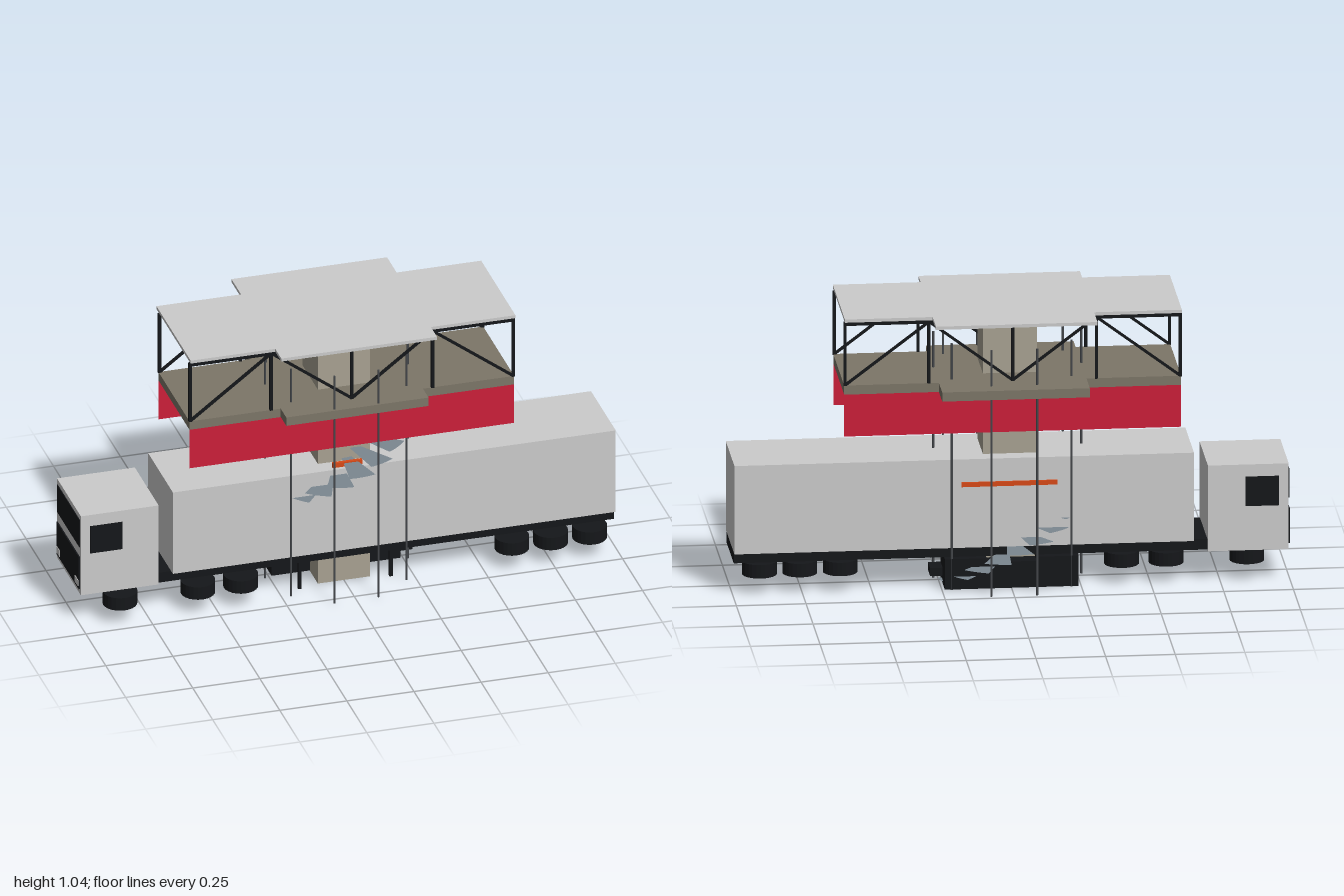
import * as THREE from 'three';

const mat = (color, side = THREE.FrontSide) =>
  new THREE.MeshStandardMaterial({ color, side, flatShading: true });
const GREY = mat(0xcccccc), BLACK = mat(0x15171a), POLE = mat(0x45484c);
const STONE = mat(0xa8a292), DECK = mat(0x7c7668), ORANGE = mat(0xd84a18);
const RED = mat(0xcc1f3a, THREE.DoubleSide), TREAD = mat(0x7b8790, THREE.DoubleSide);
const CZ = 0.025; // z of the tower axis

export function createModel() {
  const root = new THREE.Group();

  const add = (name, geometry, material, x = 0, y = 0, z = 0) => {
    const mesh = new THREE.Mesh(geometry, material);
    mesh.name = name;
    mesh.position.set(x, y, z);
    root.add(mesh);
    return mesh;
  };
  // Box given by its min and max on each axis
  const box = (name, material, x0, x1, y0, y1, z0, z1) =>
    add(name, new THREE.BoxGeometry(x1 - x0, y1 - y0, z1 - z0), material,
      (x0 + x1) / 2, (y0 + y1) / 2, (z0 + z1) / 2);
  // Square bar between two points in a plane of constant z
  const bar = (name, x0, y0, x1, y1, z, t) => {
    const m = add(name, new THREE.BoxGeometry(Math.hypot(x1 - x0, y1 - y0), t, t), BLACK,
      (x0 + x1) / 2, (y0 + y1) / 2, z);
    m.rotation.z = Math.atan2(y1 - y0, x1 - x0);
  };
  // Cross-shaped slab: long rectangle with a deeper middle
  const slab = (name, material, y, h, w, z0, z1, midW, mz0, mz1) => {
    const s = new THREE.Shape([
      [-w, z0], [-midW, z0], [-midW, mz0], [midW, mz0], [midW, z0], [w, z0],
      [w, z1], [midW, z1], [midW, mz1], [-midW, mz1], [-midW, z1], [-w, z1],
    ].map(([x, z]) => new THREE.Vector2(x, -z)));
    const g = new THREE.ExtrudeGeometry(s, { depth: h, bevelEnabled: false });
    g.rotateX(-Math.PI / 2);
    add(name, g, material, 0, y, 0);
  };

  // Truck: cab, chassis and trailer
  box('cab', GREY, -0.995, -0.705, 0.115, 0.435, -0.13, 0.17);
  box('chassis', BLACK, -0.71, 0.995, 0.115, 0.155, -0.107, 0.157);
  box('trailer', GREY, -0.655, 0.995, 0.155, 0.485, -0.13, 0.18);
  box('windshield', BLACK, -0.998, -0.99, 0.305, 0.415, -0.12, 0.16);
  box('grille', BLACK, -1.0, -0.99, 0.135, 0.265, -0.12, 0.16);
  for (const z of [-0.095, 0.135])
    box('headlamp', GREY, -1.002, -0.99, 0.145, 0.17, z - 0.02, z + 0.02);
  for (const z of [-0.13, 0.17])
    box('sideWindow', BLACK, -0.96, -0.84, 0.28, 0.39, z - 0.002, z + 0.002);

  // Wheels lie flat below the chassis
  const wheel = new THREE.CylinderGeometry(0.0625, 0.0625, 0.05, 24);
  for (const x of [-0.85, -0.56, -0.4, 0.61, 0.755, 0.9])
    for (const z of [-0.077, 0.172]) add('wheel', wheel, BLACK, x, 0.09, z);

  // Equipment under the trailer
  for (const s of [-1, 1]) {
    box('underbodyBox', BLACK, s > 0 ? 0.09 : -0.24, s > 0 ? 0.24 : -0.09, 0.002, 0.115, -0.135, 0.02);
    box('supportLeg', BLACK, s * 0.17 - 0.006, s * 0.17 + 0.006, 0, 0.115, 0.129, 0.141);
  }
  box('underbodyBack', BLACK, -0.24, 0.24, 0.002, 0.1, -0.135, -0.075);
  box('coupling', BLACK, 0.24, 0.285, 0.03, 0.06, -0.055, 0.02);

  // Orange signal bars
  box('frontSignalBar', ORANGE, -0.055, 0.055, 0.485, 0.503, 0.154, 0.166);
  box('backSignalBar', ORANGE, -0.165, 0.18, 0.383, 0.4, -0.136, -0.128);

  // Tower, deck and roof
  box('tower', STONE, -0.097, 0.097, 0, 1.03, -0.07, 0.12);
  slab('deck', DECK, 0.752, 0.034, 0.605, -0.17, 0.22, 0.265, -0.29, 0.29);
  slab('roof', GREY, 1.028, 0.012, 0.605, -0.195, 0.235, 0.29, -0.315, 0.312);

  // Truss and banner on each long side
  for (const z of [-0.168, 0.218]) {
    for (let i = -2; i <= 2; i++) bar('trussPost', i * 0.301, 0.785, i * 0.301, 1.02, z, 0.011);
    bar('trussTopChord', -0.607, 1.016, 0.607, 1.016, z, 0.013);
    for (const s of [-1, 1]) {
      bar('trussDiagonal', s * 0.3, 1.015, s * 0.6, 0.788, z, 0.009);
      bar('trussDiagonal', s * 0.3, 1.015, 0, 0.788, z, 0.009);
    }
    add('banner', new THREE.PlaneGeometry(1.21, 0.16), RED, 0, 0.675, z);
  }

  // Ring of ten slender poles around the tower
  const pole = new THREE.CylinderGeometry(0.004, 0.004, 0.92, 8);
  for (let i = 0; i < 10; i++) {
    const a = (i * Math.PI) / 5;
    add('stairPole', pole, POLE, 0.266 * Math.cos(a), 0.46, CZ + 0.266 * Math.sin(a));
  }

  // Spiral stair: thin flat treads winding up from the right rear
  const step = Math.PI / 10;
  const tread = new THREE.RingGeometry(0.1, 0.262, 2, 1, -step * 0.6, step * 1.2);
  tread.rotateX(-Math.PI / 2);
  for (let i = 0; i < 22; i++)
    add('stairTread', tread, TREAD, 0, 0.015 + i * 0.0345, CZ).rotation.y = 0.4 + i * step;

  return root;
}
